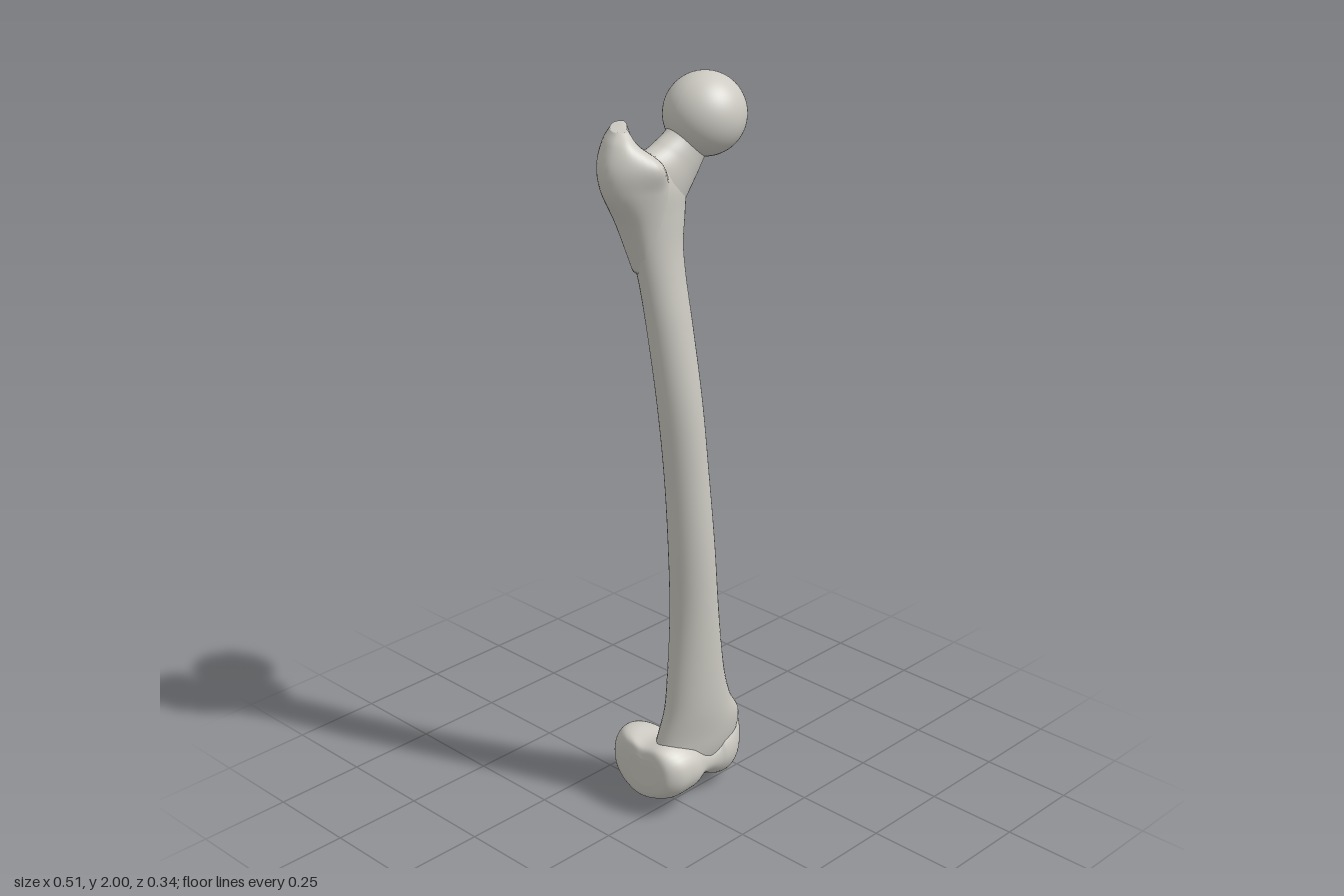
import * as THREE from 'three';

const bone = new THREE.MeshStandardMaterial({ color: 0xcccac2 });
bone.name = 'bone';

const V = (x, y, z) => new THREE.Vector3(x, y, z);

// Smooth closed skin through a row of rings (each an array of Vector3).
function loft(rings, around = 40, along = 60) {
  const loops = rings.map((r) => {
    const c = new THREE.CatmullRomCurve3(r, true);
    return Array.from({ length: around }, (_, i) => c.getPoint(i / around));
  });
  const rails = Array.from({ length: around }, (_, i) =>
    new THREE.CatmullRomCurve3(loops.map((l) => l[i])));
  const pos = [], index = [];
  for (let j = 0; j <= along; j++) {
    for (const rail of rails) pos.push(...rail.getPoint(j / along).toArray());
  }
  // Cap centres
  for (const l of [loops[0], loops[loops.length - 1]]) {
    const c = V(0, 0, 0);
    l.forEach((p) => c.addScaledVector(p, 1 / around));
    pos.push(...c.toArray());
  }
  const start = around * (along + 1), last = around * along;
  for (let i = 0; i < around; i++) {
    const k = (i + 1) % around;
    for (let j = 0; j < along; j++) {
      const a = j * around + i, b = j * around + k;
      index.push(a, a + around, b, b, a + around, b + around);
    }
    index.push(start, i, k, start + 1, last + k, last + i);
  }
  // Turn the faces outwards when the rings run the other way
  let volume = 0;
  const at = (n) => V(pos[3 * n], pos[3 * n + 1], pos[3 * n + 2]);
  for (let i = 0; i < index.length; i += 3) {
    volume += at(index[i]).dot(at(index[i + 1]).cross(at(index[i + 2])));
  }
  if (volume < 0) index.reverse();
  const g = new THREE.BufferGeometry();
  g.setAttribute('position', new THREE.Float32BufferAttribute(pos, 3));
  g.setIndex(index);
  g.computeVertexNormals();
  return g;
}

// Elliptical ring about c with half-axes u and v; rear narrows the -v half.
function ellipse(c, u, v, rear = 0) {
  return Array.from({ length: 16 }, (_, i) => {
    const a = (i / 16) * Math.PI * 2, s = Math.sin(a);
    const k = s < 0 ? 1 - rear * s * s : 1;
    return c.clone().addScaledVector(u, Math.cos(a) * k).addScaledVector(v, s);
  });
}

// Shaft: y, x from, x to, z back, z front
function shaft() {
  const rows = [
    [0.10, -0.08, 0.19, -0.06, 0.06], [0.16, -0.083, 0.215, -0.062, 0.08],
    [0.22, -0.075, 0.21, -0.052, 0.092], [0.30, -0.066, 0.155, -0.03, 0.105],
    [0.40, -0.066, 0.115, -0.015, 0.115], [0.60, -0.07, 0.07, 0.004, 0.13],
    [0.80, -0.085, 0.04, 0.015, 0.14], [1.00, -0.102, 0.015, 0.02, 0.14],
    [1.20, -0.122, -0.005, 0.015, 0.135], [1.40, -0.142, -0.02, 0, 0.115],
    [1.52, -0.158, -0.028, -0.01, 0.1], [1.60, -0.175, -0.028, -0.022, 0.094],
    [1.68, -0.2, -0.015, -0.035, 0.094], [1.75, -0.22, -0.015, -0.03, 0.095],
    [1.80, -0.2, -0.06, -0.015, 0.085], [1.825, -0.17, -0.09, 0.01, 0.065],
  ];
  return loft(rows.map(([y, x0, x1, z0, z1]) => ellipse(
    V((x0 + x1) / 2, y, (z0 + z1) / 2), V((x1 - x0) / 2, 0, 0), V(0, 0, (z1 - z0) / 2), 0.35)), 40, 110);
}

// Neck: x, y, z of the centre, half-width up the slope, half-depth
function neck() {
  const rows = [
    [-0.13, 1.65, 0.03, 0.055, 0.045], [-0.09, 1.755, 0.037, 0.09, 0.056],
    [-0.047, 1.8, 0.045, 0.073, 0.053], [-0.015, 1.837, 0.052, 0.06, 0.052],
    [0.018, 1.878, 0.06, 0.066, 0.064],
  ];
  return loft(rows.map(([x, y, z, a, b]) => ellipse(
    V(x, y, z), V(-0.77 * a, 0.64 * a, 0), V(0, 0, b))));
}

// Ball head with a shallow pit on the inner side
function head() {
  const g = new THREE.SphereGeometry(0.101, 56, 40);
  const p = g.attributes.position, pit = V(0.93, 0.27, -0.17).normalize();
  for (let i = 0; i < p.count; i++) {
    const v = V(0, 0, 0).fromBufferAttribute(p, i);
    const d = v.angleTo(pit);
    v.multiplyScalar(1 - 0.09 * Math.exp(-d * d / 0.03));
    p.setXYZ(i, v.x, v.y, v.z);
  }
  g.computeVertexNormals();
  return g.translate(0.033, 1.899, 0.067);
}

// Greater trochanter: level rings of x, z pairs, lateral side first
function greaterTrochanter() {
  const levels = [
    [1.54, [-.16, .03, -.15, .005, -.125, -.01, -.1, 0, -.08, .02, -.09, .05, -.12, .07, -.15, .06]],
    [1.66, [-.203, .035, -.187, -.015, -.14, -.05, -.1, -.04, -.09, 0, -.09, .06, -.13, .088, -.18, .075]],
    [1.75, [-.25, .03, -.222, -.03, -.15, -.073, -.105, -.06, -.1, 0, -.1, .08, -.15, .104, -.215, .08]],
    [1.81, [-.255, .03, -.23, -.03, -.14, -.083, -.1, -.067, -.115, -.01, -.12, .07, -.16, .115, -.222, .08]],
    [1.86, [-.235, .025, -.21, -.03, -.14, -.077, -.105, -.06, -.128, -.02, -.165, .03, -.185, .06, -.215, .06]],
    [1.888, [-.21, .015, -.19, -.025, -.14, -.06, -.12, -.055, -.135, -.025, -.17, .01, -.185, .03, -.2, .03]],
  ];
  return loft(levels.map(([y, f]) =>
    Array.from({ length: 8 }, (_, i) => V(f[2 * i], y, f[2 * i + 1]))));
}

// Crest running down the back into the lesser trochanter: y, x, z, half-sizes
function lesserTrochanter() {
  const rows = [
    [1.78, -0.1, -0.04, 0.022, 0.02], [1.72, -0.075, -0.028, 0.03, 0.026],
    [1.66, -0.038, -0.018, 0.034, 0.028], [1.61, -0.022, -0.016, 0.033, 0.033],
    [1.57, -0.026, -0.008, 0.027, 0.028], [1.52, -0.05, 0.01, 0.018, 0.02],
    [1.46, -0.065, 0.025, 0.01, 0.012],
  ];
  return loft(rows.map(([y, x, z, a, b]) => ellipse(V(x, y, z), V(a, 0, 0), V(0, 0, b))), 28, 40);
}

// Knee end: one side profile swept across x; the notch lies between the condyles
function condyles() {
  const profile = [
    [0, .5], [.03, .75], [.13, .95], [.28, 1], [.5, .95], [.78, 1], [.97, .8],
    [1, .5], [.9, .25], [.7, .08], [.42, 0], [.18, .1], [.04, .28],
  ];
  // x, z back, z front, y bottom, y top
  const rows = [
    [-0.112, -0.06, 0.04, 0.09, 0.17], [-0.103, -0.11, 0.075, 0.05, 0.2],
    [-0.075, -0.153, 0.098, 0.03, 0.21], [-0.035, -0.166, 0.104, 0.03, 0.21],
    [0, -0.155, 0.1, 0.035, 0.2], [0.022, -0.12, 0.09, 0.046, 0.185],
    [0.045, -0.078, 0.08, 0.058, 0.17], [0.075, -0.076, 0.076, 0.055, 0.16],
    [0.1, -0.09, 0.08, 0.04, 0.17], [0.12, -0.138, 0.084, 0.02, 0.195],
    [0.155, -0.17, 0.078, 0.003, 0.205], [0.19, -0.173, 0.06, 0, 0.21],
    [0.225, -0.155, 0.03, 0.015, 0.21], [0.247, -0.12, 0, 0.055, 0.195],
    [0.254, -0.085, -0.03, 0.09, 0.165],
  ];
  return loft(rows.map(([x, z0, z1, y0, y1]) => profile.map(([u, v]) =>
    V(x, y0 + (y1 - y0) * v, z0 + (z1 - z0) * u))), 56, 90);
}

export function createModel() {
  const group = new THREE.Group();
  group.name = 'thighBone';
  const parts = { shaft, neck, head, greaterTrochanter, lesserTrochanter, condyles };
  for (const [name, build] of Object.entries(parts)) {
    const mesh = new THREE.Mesh(build(), bone);
    mesh.name = name;
    group.add(mesh);
  }
  return group;
}
